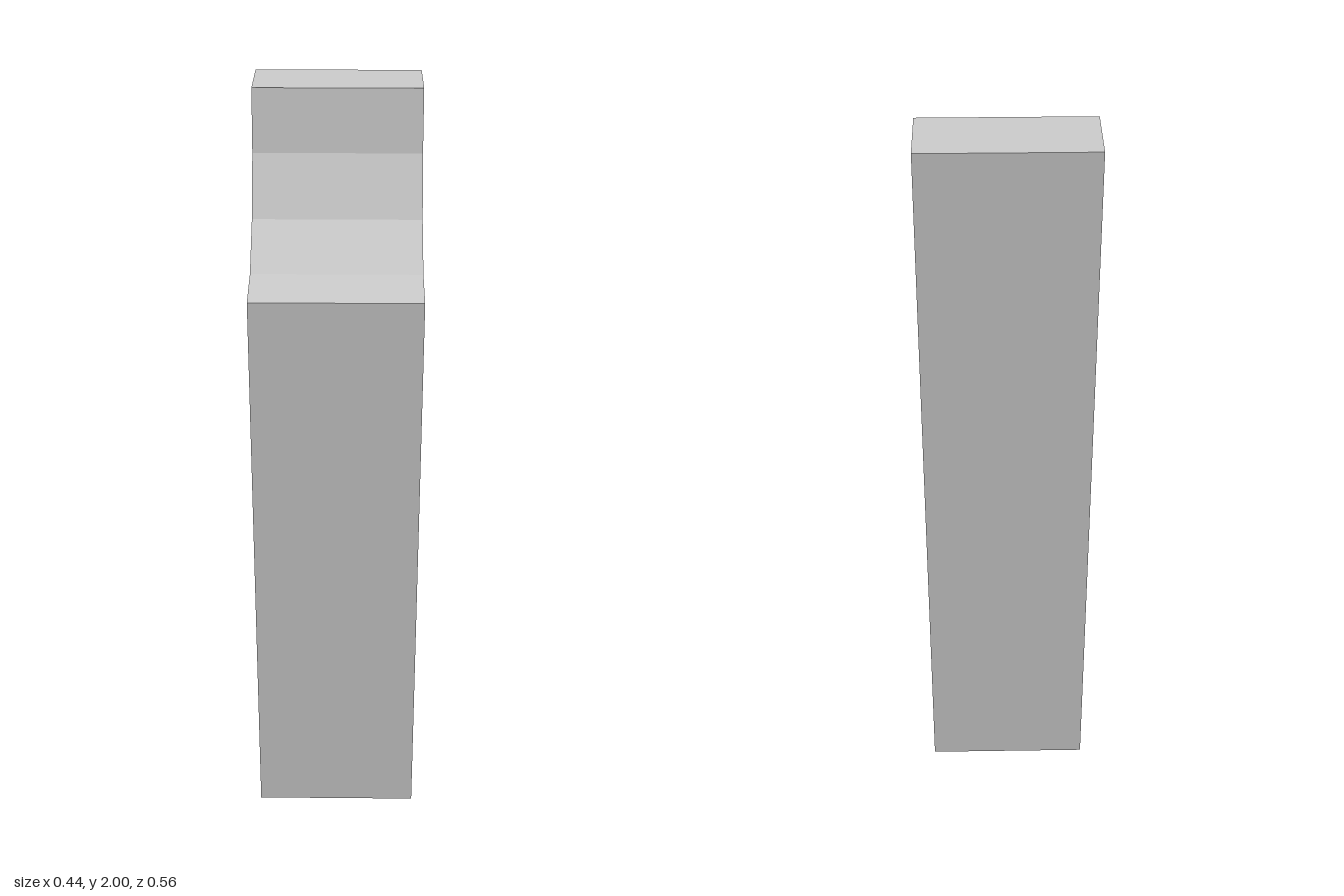
import * as THREE from 'three';

const HALF_WIDTH = 0.22;

// Side outline as [z, y]: tall back, scooped front shoulder
const PROFILE = [
  [0.278, 0], [0.278, 1.563], [0.143, 1.586], [0.018, 1.688],
  [-0.065, 1.838], [-0.093, 2], [-0.278, 2], [-0.278, 0],
];

// Drops the triangles lying on the ground, leaving the underside open
function openBottom(geometry) {
  const source = geometry.index ? geometry.toNonIndexed() : geometry;
  const p = source.attributes.position;
  const kept = [];
  for (let i = 0; i < p.count; i += 3) {
    const onGround = [0, 1, 2].every((k) => Math.abs(p.getY(i + k)) < 1e-5);
    if (onGround) continue;
    for (let k = 0; k < 3; k++) kept.push(p.getX(i + k), p.getY(i + k), p.getZ(i + k));
  }
  const result = new THREE.BufferGeometry();
  result.setAttribute('position', new THREE.Float32BufferAttribute(kept, 3));
  result.computeVertexNormals();
  return result;
}

export function createModel() {
  const group = new THREE.Group();
  group.name = 'notchedPost';

  // Hollow post: the outline extruded across the width
  const outline = new THREE.Shape(PROFILE.map(([z, y]) => new THREE.Vector2(-z, y)));
  const solid = new THREE.ExtrudeGeometry(outline, { depth: HALF_WIDTH * 2, bevelEnabled: false });
  solid.translate(0, 0, -HALF_WIDTH).rotateY(Math.PI / 2);

  const material = new THREE.MeshStandardMaterial({
    color: 0xcccccc, flatShading: true, side: THREE.DoubleSide,
  });
  const post = new THREE.Mesh(openBottom(solid), material);
  post.name = 'post';
  group.add(post);
  return group;
}
